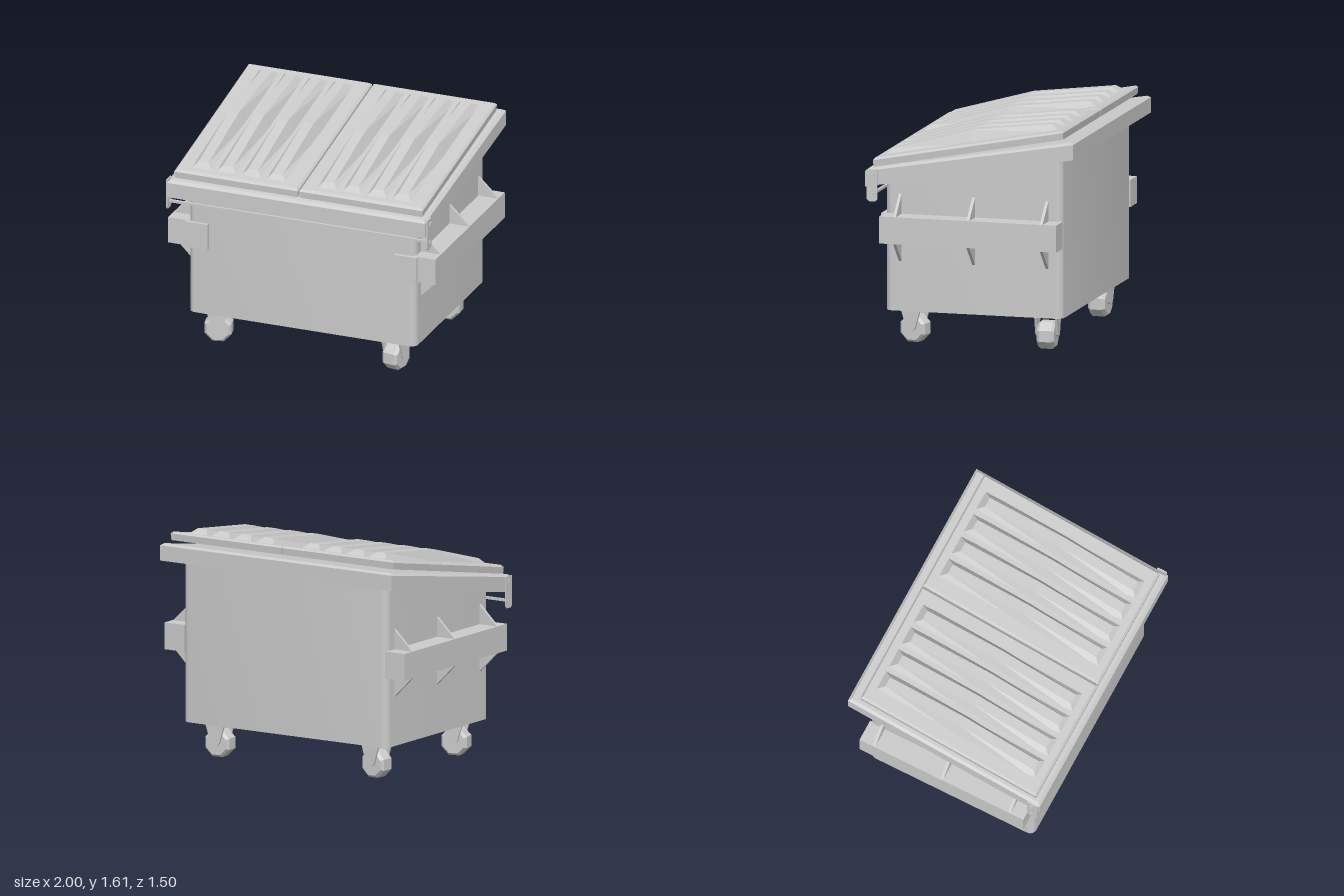
import * as THREE from 'three';
import { toCreasedNormals } from 'three/addons/utils/BufferGeometryUtils.js';

const material = new THREE.MeshStandardMaterial({ color: 0xcccccc, flatShading: true });
const smooth = new THREE.MeshStandardMaterial({ color: 0xcccccc });

function add(parent, name, geometry, x = 0, y = 0, z = 0, mat = material) {
  const mesh = new THREE.Mesh(geometry, mat);
  mesh.name = name;
  mesh.position.set(x, y, z);
  parent.add(mesh);
  return mesh;
}

const box = (w, h, d) => new THREE.BoxGeometry(w, h, d);

// Flat plate from outline points, centred on its thickness
function plate(points, depth) {
  const shape = new THREE.Shape(points.map(([x, y]) => new THREE.Vector2(x, y)));
  return new THREE.ExtrudeGeometry(shape, { depth, bevelEnabled: false }).translate(0, 0, -depth / 2);
}

// Capped skin over four-cornered rings
function loft(rings) {
  const p = [];
  const quad = (a, b, c, d) => p.push(...a, ...b, ...c, ...a, ...c, ...d);
  for (let r = 0; r < rings.length - 1; r++) {
    for (let i = 0; i < 4; i++) {
      const j = (i + 1) % 4;
      quad(rings[r][i], rings[r][j], rings[r + 1][j], rings[r + 1][i]);
    }
  }
  const [a, b, c, d] = rings[0];
  quad(d, c, b, a);
  quad(...rings[rings.length - 1]);
  const g = new THREE.BufferGeometry();
  g.setAttribute('position', new THREE.Float32BufferAttribute(p, 3));
  g.computeVertexNormals();
  return g;
}

// Slab rising to the back by the given slope; levels are [y at z = 0, inset]
function slopedSlab(x0, x1, z0, z1, slope, levels) {
  return loft(levels.map(([y, n]) =>
    [[x0 + n, z1 - n], [x1 - n, z1 - n], [x1 - n, z0 + n], [x0 + n, z0 + n]]
      .map(([x, z]) => [x, y - slope * z, z])));
}

const RIM_SLOPE = 0.173, LID_SLOPE = 0.19;

// Bin body with rounded upright corners and a sloping top
function bodyGeometry() {
  const w = 0.85, d = 0.64, r = 0.05, shape = new THREE.Shape();
  shape.absarc(w - r, d - r, r, 0, Math.PI / 2);
  shape.absarc(-w + r, d - r, r, Math.PI / 2, Math.PI);
  shape.absarc(-w + r, -d + r, r, Math.PI, Math.PI * 1.5);
  shape.absarc(w - r, -d + r, r, Math.PI * 1.5, Math.PI * 2);
  const g = new THREE.ExtrudeGeometry(shape, { depth: 1, bevelEnabled: false, curveSegments: 6 });
  g.rotateX(-Math.PI / 2);
  const p = g.attributes.position;
  for (let i = 0; i < p.count; i++) {
    p.setY(i, p.getY(i) > 0.5 ? 1.3 - RIM_SLOPE * p.getZ(i) : 0.245);
  }
  return toCreasedNormals(g, 0.6);
}

// Raised lid rib: [z, height of top], bent in the middle
function ribGeometry() {
  const stations = [[-0.61, 0], [-0.55, 1.605], [0.04, 1.535], [0.61, 1.375], [0.65, 0]];
  return loft(stations.map(([z, top]) => {
    const base = 1.452 - LID_SLOPE * z;
    const half = top ? 0.037 : 0.08, y = top || base;
    return [[-0.08, base, z], [0.08, base, z], [half, y, z], [-half, y, z]];
  }));
}

// Swivel caster: eight-sided wheel between two tapered fork plates
function caster(x, z, angle) {
  const g = new THREE.Group();
  g.name = 'caster';
  const profile = [[0, -0.062], [0.085, -0.062], [0.103, -0.042], [0.103, 0.042], [0.085, 0.062], [0, 0.062]]
    .map(([r, y]) => new THREE.Vector2(r, y));
  const wheel = new THREE.LatheGeometry(profile, 8).rotateY(Math.PI / 8).rotateZ(Math.PI / 2);
  add(g, 'wheel', wheel, 0, 0.095, 0);
  const fork = plate([[-0.08, 0.25], [-0.035, 0.1], [-0.015, 0.085], [0.015, 0.085], [0.035, 0.1], [0.08, 0.25]], 0.015)
    .rotateY(Math.PI / 2);
  for (const s of [-1, 1]) add(g, 'forkPlate', fork, s * 0.073, 0, 0);
  add(g, 'axle', new THREE.CylinderGeometry(0.014, 0.014, 0.155, 8).rotateZ(Math.PI / 2), 0, 0.105, 0);
  g.position.set(x, 0, z);
  g.rotation.y = angle;
  return g;
}

export function createModel() {
  const model = new THREE.Group();
  model.name = 'wheeledWasteContainer';

  add(model, 'body', bodyGeometry(), 0, 0, 0, smooth);
  add(model, 'rim', slopedSlab(-0.965, 0.965, -0.75, 0.75, RIM_SLOPE, [[1.26, 0], [1.368, 0], [1.385, 0.02]]));

  // Two lids meeting at a narrow centre gap, four ribs each
  const rib = ribGeometry();
  for (const s of [-1, 1]) {
    const lid = new THREE.Group();
    lid.name = s > 0 ? 'leftLid' : 'rightLid';
    model.add(lid);
    const [x0, x1] = s > 0 ? [0.004, 0.93] : [-0.93, -0.004];
    add(lid, 'lidPanel', slopedSlab(x0, x1, -0.67, 0.705, LID_SLOPE, [[1.398, 0.004], [1.445, 0], [1.46, 0.014]]));
    for (let i = 0; i < 4; i++) add(lid, 'lidRib', rib, s * (0.192 + i * 0.185), 0, 0);
  }

  const hingePlate = plate([[0.66, 1.255], [0.66, 1.045], [0.675, 1.03], [0.72, 1.03], [0.735, 1.045], [0.735, 1.255]], 0.01)
    .rotateY(-Math.PI / 2);

  for (const s of [-1, 1]) {
    // Side lifting bar with front plate and triangular gussets
    const lift = new THREE.Group();
    lift.name = s > 0 ? 'leftLiftBar' : 'rightLiftBar';
    model.add(lift);
    add(lift, 'sideBar', box(0.16, 0.19, 1.28), s * 0.92, 0.835, 0);
    add(lift, 'frontPlate', box(0.171, 0.19, 0.03), s * 0.781, 0.835, 0.65);
    const upper = plate([[s * 0.845, 1.075], [s * 0.845, 0.925], [s * 1, 0.925]], 0.02);
    const lower = plate([[s * 0.845, 0.59], [s * 0.845, 0.745], [s * 1, 0.745]], 0.02);
    for (const z of [-0.53, 0, 0.53]) {
      add(lift, 'upperGusset', upper, 0, 0, z);
      add(lift, 'lowerGusset', lower, 0, 0, z);
    }

    // Lock bar bracket on the rim's front corner
    add(model, 'barBracket', hingePlate, s * 0.973, 0, 0);
    add(model, 'bracketBolt', box(0.03, 0.02, 0.02), s * 0.973, 1.22, 0.695);
  }
  add(model, 'lockBar', box(1.97, 0.018, 0.018), 0, 1.083, 0.695);

  for (const [x, z, angle] of [
    [0.64, 0.48, -0.2], [-0.685, 0.48, -1.35], [0.645, -0.475, -1.5], [-0.66, -0.475, 1.5],
  ]) model.add(caster(x, z, angle));

  return model;
}
